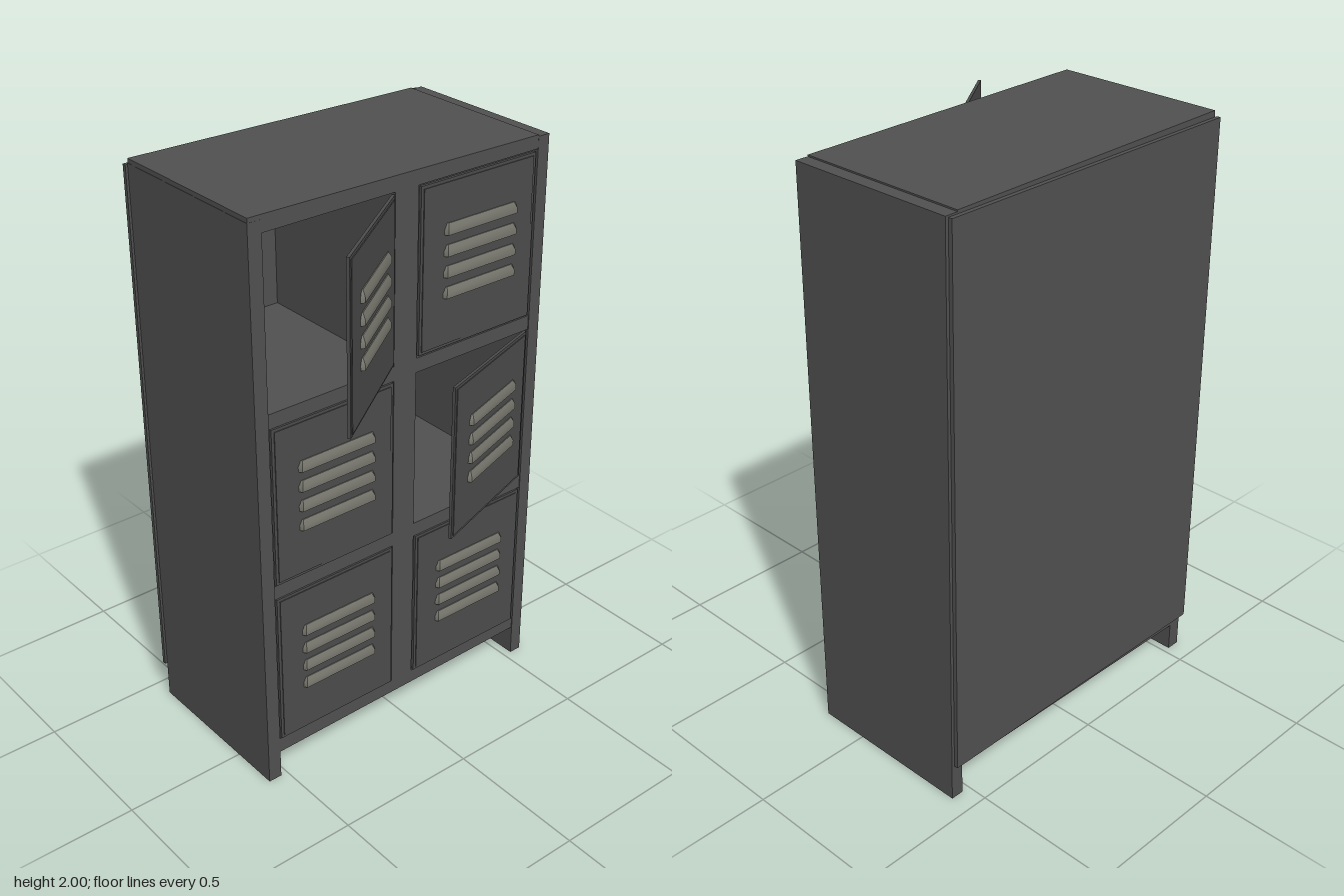
import * as THREE from 'three';

const bodyMat = new THREE.MeshStandardMaterial({ color: 0x515151 });
bodyMat.name = 'dark grey steel';
const doorMat = new THREE.MeshStandardMaterial({ color: 0x4c4c4c });
doorMat.name = 'door steel';
const louverMat = new THREE.MeshStandardMaterial({ color: 0x74746b });
louverMat.name = 'warm grey louver';

// Box given by its limits on each axis
function slab(name, x0, x1, y0, y1, z0, z1, mat = bodyMat) {
  const geo = new THREE.BoxGeometry(x1 - x0, y1 - y0, z1 - z0);
  geo.translate((x0 + x1) / 2, (y0 + y1) / 2, (z0 + z1) / 2);
  const mesh = new THREE.Mesh(geo, mat);
  mesh.name = name;
  return mesh;
}

// Move vertices of a geometry by a rule
function reshape(geo, rule) {
  const p = geo.attributes.position;
  const v = new THREE.Vector3();
  for (let i = 0; i < p.count; i++) {
    rule(v.fromBufferAttribute(p, i));
    p.setXYZ(i, v.x, v.y, v.z);
  }
  geo.computeVertexNormals();
  return geo;
}

// Vent hood: sloping top edge, tapered ends
const louverGeo = reshape(new THREE.BoxGeometry(0.3, 0.036, 0.014, 1, 2, 1), (v) => {
  if (v.z > 0) {
    v.x *= 0.95;
    if (v.y > 0.01) v.z = -0.002;
  }
  if (v.y > 0.01) v.x *= 0.95;
});

// Door with its hinge edge at the origin, reaching towards -x
function makeDoor(width, height, angle) {
  const door = new THREE.Group();
  door.name = 'door';
  const h = height / 2;
  door.add(slab('doorPanel', -width, 0, -h, h, -0.009, 0.001, doorMat));
  door.add(slab('doorFace', -width + 0.01, -0.01, -h + 0.01, h - 0.01, 0, 0.004, doorMat));
  for (const y of [0.12, 0.05, -0.02, -0.09]) {
    const louver = new THREE.Mesh(louverGeo, louverMat);
    louver.name = 'louver';
    louver.position.set(-0.226, y, 0.009);
    door.add(louver);
  }
  door.rotation.y = angle;
  return door;
}

export function createModel() {
  const model = new THREE.Group();
  model.name = 'lockerCabinet';
  const zb = -0.428, zf = 0.172;

  // Side panels, running down to form the feet
  model.add(slab('leftSide', 0.53, 0.575, 0, 1.985, zb, 0.175));
  model.add(slab('rightSide', -0.573, -0.525, 0, 1.985, zb, 0.175));

  // Back sheet
  model.add(slab('backPanel', -0.58, 0.566, 0.13, 1.98, -0.444, -0.43));

  // Top and bottom, slightly askew
  const top = slab('topPanel', -0.572, 0.53, 1.945, 2, zb, 0.1745);
  reshape(top.geometry, (v) => { if (v.y > 1.97 && v.x > 0) v.y = 1.99; });
  const base = slab('bottomPanel', -0.525, 0.53, 0.1, 0.155, zb, zf);
  reshape(base.geometry, (v) => { if (v.y < 0.12 && v.x > 0) v.y = 0.112; });
  model.add(top, base);

  // Shelves and centre divider
  for (const y of [0.715, 1.325]) {
    model.add(slab('shelf', -0.525, 0.53, y, y + 0.05, zb, zf));
  }
  model.add(slab('divider', -0.045, 0.045, 0.155, 1.945, zb, zf + 0.001));

  // Doors: three rows, two columns, two of them ajar
  const rows = [0.435, 1.045, 1.66];
  const hinges = [-0.05, 0.52];
  const ajar = { '2,0': 0.609, '1,1': 0.32 };
  rows.forEach((y, r) => hinges.forEach((x, c) => {
    const door = makeDoor(0.468, 0.556, ajar[`${r},${c}`] || 0);
    door.position.set(x, y, 0.175);
    model.add(door);
  }));

  return model;
}
